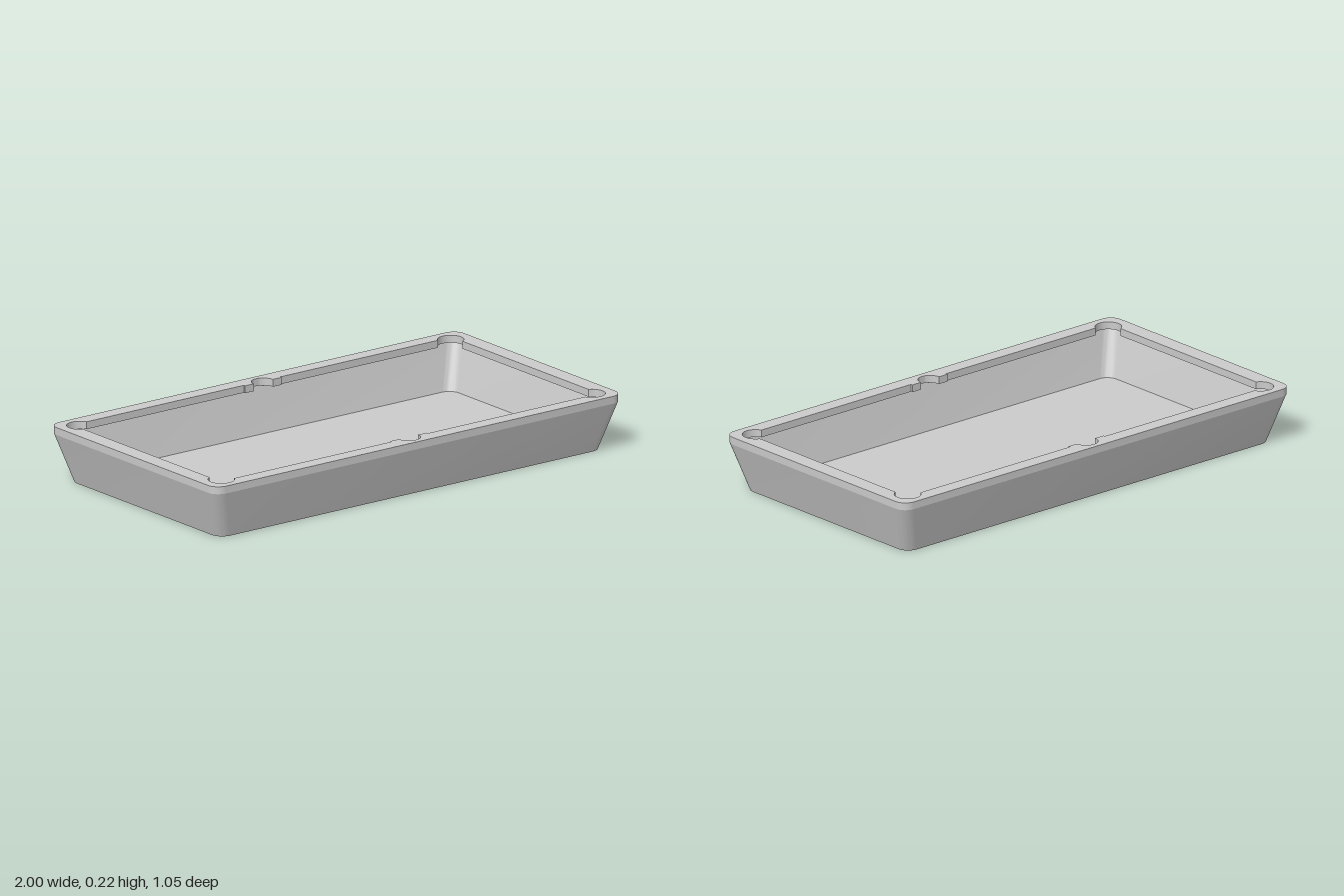
import * as THREE from 'three';
import { toCreasedNormals } from 'three/addons/utils/BufferGeometryUtils.js';

const TOP = 0.225, LIP_BASE = 0.195, FLOOR = 0.01;

function arc(cx, cz, r, a0, a1, n) {
  return Array.from({ length: n + 1 }, (_, i) => {
    const a = a0 + ((a1 - a0) * i) / n;
    return new THREE.Vector2(cx + r * Math.cos(a), cz + r * Math.sin(a));
  });
}

function roundedRect(hx, hz, r) {
  return [[1, 1], [-1, 1], [-1, -1], [1, -1]].flatMap(([sx, sz], q) =>
    arc(sx * (hx - r), sz * (hz - r), r, (q * Math.PI) / 2, ((q + 1) * Math.PI) / 2, 10));
}

// Joins rings of equal length, each given as [y, half width, half depth, corner radius]
function loft(sections) {
  const rings = sections.map(([y, hx, hz, r]) =>
    roundedRect(hx, hz, r).map(p => [p.x, y, p.y]));
  const n = rings[0].length, index = [];
  for (let k = 0; k < rings.length - 1; k++) {
    for (let i = 0; i < n; i++) {
      const j = (i + 1) % n, a = k * n + i, b = k * n + j, c = a + n, d = b + n;
      if (sections[k][1] > 0) index.push(a, c, b);
      if (sections[k + 1][1] > 0) index.push(b, c, d);
    }
  }
  const geo = new THREE.BufferGeometry();
  geo.setAttribute('position', new THREE.Float32BufferAttribute(rings.flat(2), 3));
  geo.setIndex(index);
  return toCreasedNormals(geo, 0.5);
}

// Opening of the lip: a rectangle with round corner holes and a half-round notch on each long side
function lipOpening() {
  const cx = 0.91, cz = 0.445, r = 0.052, hx = 0.93, hz = 0.465, bossZ = 0.457;
  const off = Math.sqrt(r * r - 0.02 * 0.02);
  const quarter = [
    ...arc(cx, cz, r, Math.atan2(-off, hx - cx), Math.atan2(hz - cz, -off), 16),
    new THREE.Vector2(0.09, hz),
    new THREE.Vector2(0.09, bossZ),
    ...arc(0, bossZ, 0.047, 0, Math.PI / 2, 8),
  ];
  const mirror = (pts, sx, sz) => pts.map(p => new THREE.Vector2(p.x * sx, p.y * sz));
  const back = [...quarter].reverse();
  return [
    ...quarter,
    ...mirror(back, -1, 1).slice(1),
    ...mirror(quarter, -1, -1),
    ...mirror(back, 1, -1).slice(1),
  ];
}

export function createModel() {
  const group = new THREE.Group();
  group.name = 'tray';
  const material = new THREE.MeshStandardMaterial({ color: 0xcccccc });

  // Tapered thin-walled basin: underside, outer wall, wall top, inner wall, floor
  const basin = new THREE.Mesh(loft([
    [0, 0, 0, 0],
    [0, 0.94, 0.475, 0.05],
    [LIP_BASE, 1, 0.527, 0.05],
    [LIP_BASE, 0.983, 0.512, 0.045],
    [FLOOR, 0.93, 0.467, 0.045],
    [FLOOR, 0, 0, 0],
  ]), material);
  basin.name = 'basin';
  group.add(basin);

  // Flat overhanging lip with straight edges
  const shape = new THREE.Shape(roundedRect(1, 0.527, 0.05));
  shape.holes.push(new THREE.Path(lipOpening()));
  const lipGeo = new THREE.ExtrudeGeometry(shape, { depth: TOP - LIP_BASE, bevelEnabled: false });
  lipGeo.rotateX(Math.PI / 2).translate(0, TOP, 0);
  const lip = new THREE.Mesh(toCreasedNormals(lipGeo, 0.5), material);
  lip.name = 'lip';
  group.add(lip);

  return group;
}
